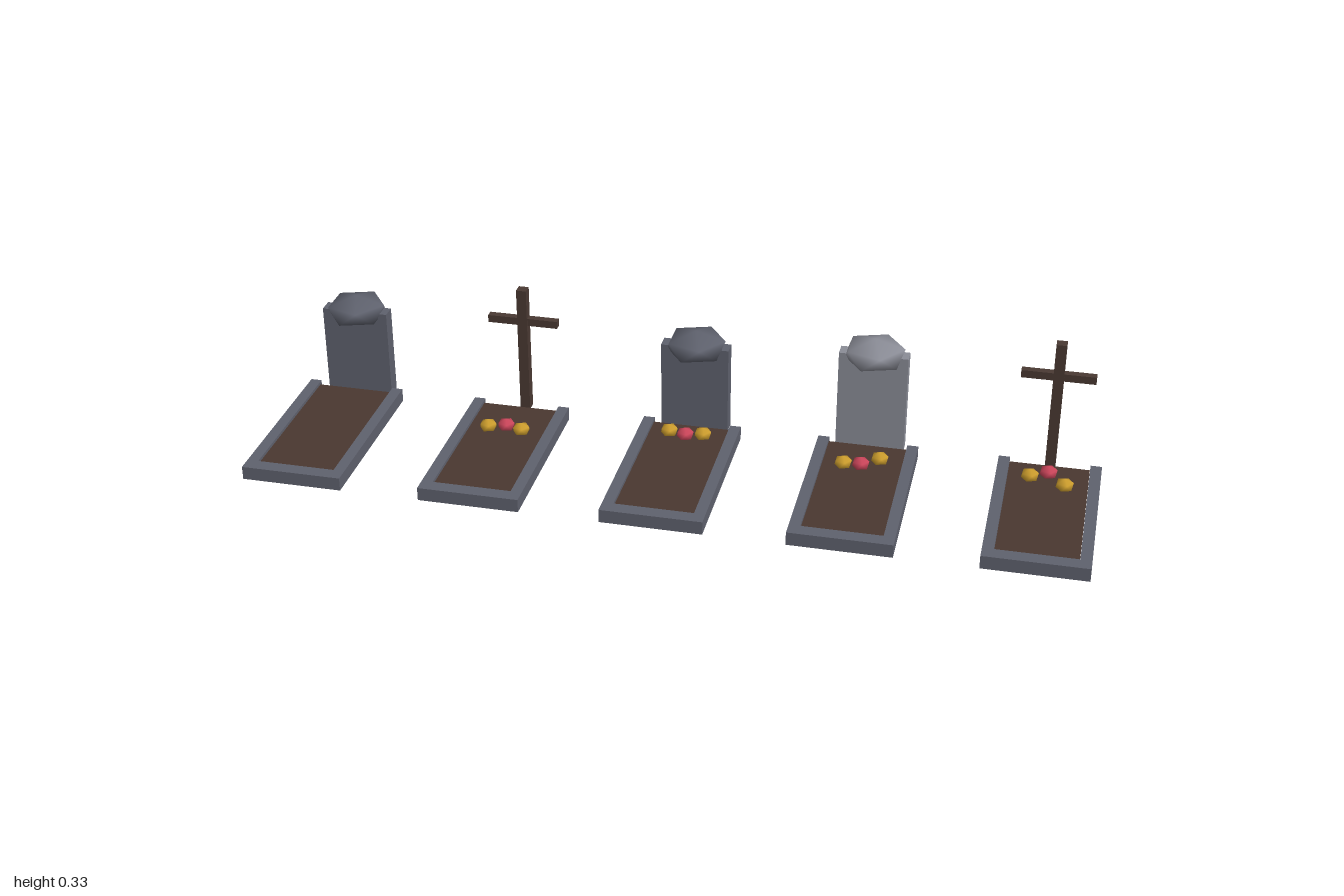
import * as THREE from 'three';
import { mergeVertices } from 'three/addons/utils/BufferGeometryUtils.js';

const mat = (name, color) => {
  const m = new THREE.MeshStandardMaterial({ color });
  m.name = name;
  return m;
};

// Squashed, smooth-shaded icosahedron standing on one of its corners
function blob(radius, height) {
  let g = new THREE.IcosahedronGeometry(1, 0);
  g.deleteAttribute('normal');
  g.deleteAttribute('uv');
  g = mergeVertices(g);
  g.rotateX(-Math.atan((1 + Math.sqrt(5)) / 2));
  g.rotateY(Math.PI / 2);
  g.scale(radius, height, radius);
  g.computeVertexNormals();
  return g;
}

function add(parent, name, geometry, material, x, y, z) {
  const mesh = new THREE.Mesh(geometry, material);
  mesh.name = name;
  mesh.position.set(x, y, z);
  parent.add(mesh);
  return mesh;
}

// Box placed by the height of its underside
function box(parent, name, material, w, h, d, x, y, z) {
  return add(parent, name, new THREE.BoxGeometry(w, h, d), material, x, y + h / 2, z);
}

export function createModel() {
  const stone = mat('dark stone', 0x5f626e);
  const paleStone = mat('pale stone', 0x8b8d97);
  const soil = mat('soil', 0x4a3830);
  const wood = mat('wood', 0x4a3a33);
  const red = mat('red petals', 0xcf475c);
  const gold = mat('gold petals', 0xd0a02e);

  const markerZ = -0.207;
  const capGeometry = blob(0.082, 0.038);
  const flowerGeometry = blob(0.023, 0.017);

  // Flowers are [x, z] offsets; the middle one is red
  const graves = [
    { x: -0.8775, slab: 0.228, stone, flowers: [] },
    { x: -0.439, flowers: [[-0.042, -0.019], [0, -0.032], [0.042, -0.019]] },
    { x: 0, slab: 0.226, stone, flowers: [[-0.042, -0.094], [0, -0.084], [0.042, -0.094]] },
    { x: 0.4385, slab: 0.254, stone: paleStone, flowers: [[-0.042, -0.035], [0, -0.038], [0.041, -0.071]] },
    { x: 0.8775, flowers: [[-0.042, -0.073], [0, -0.096], [0.041, -0.045]] },
  ];

  const model = new THREE.Group();
  model.name = 'graves';

  for (const spec of graves) {
    const grave = new THREE.Group();
    grave.name = 'grave';
    grave.position.x = spec.x;
    model.add(grave);

    // Soil bed with kerbs on three sides
    box(grave, 'soilBed', soil, 0.19, 0.026, 0.41, 0, 0, 0.05);
    for (const side of [-1, 1]) {
      box(grave, side > 0 ? 'leftKerb' : 'rightKerb', stone, 0.027, 0.033, 0.452, side * 0.109, 0, 0.061);
    }
    box(grave, 'frontKerb', stone, 0.191, 0.033, 0.035, 0, 0, 0.2695);

    if (spec.slab) {
      // Headstone with a rough cap
      box(grave, 'headstone', spec.stone, 0.168, spec.slab, 0.037, 0, 0, markerZ);
      add(grave, 'headstoneCap', capGeometry, spec.stone, 0, spec.slab, markerZ);
    } else {
      // Wooden cross
      box(grave, 'crossPost', wood, 0.025, 0.33, 0.026, 0, 0, markerZ);
      box(grave, 'crossBar', wood, 0.177, 0.019, 0.019, 0, 0.234, markerZ);
    }

    spec.flowers.forEach(([x, z], i) => {
      add(grave, 'flower', flowerGeometry, i === 1 ? red : gold, x, 0.043, z);
    });
  }
  return model;
}
